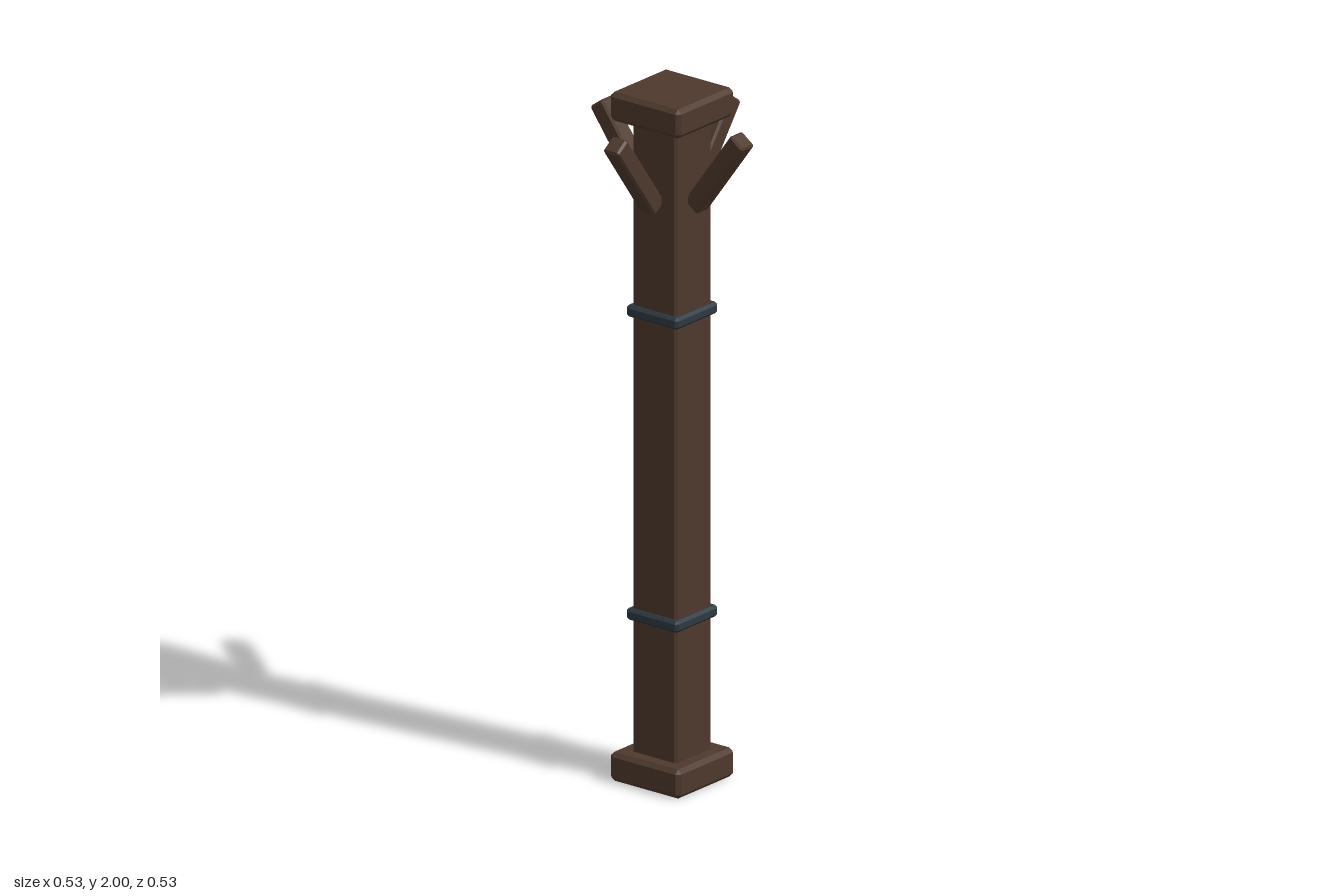
import * as THREE from 'three';
import { ConvexGeometry } from 'three/addons/geometries/ConvexGeometry.js';

// Box with all edges cut at 45 degrees: three inset points at each corner
function chamferBox(w, h, d, c) {
  const points = [];
  for (const sx of [-1, 1]) for (const sy of [-1, 1]) for (const sz of [-1, 1]) {
    const x = w / 2, y = h / 2, z = d / 2;
    points.push(
      new THREE.Vector3(sx * x, sy * (y - c), sz * (z - c)),
      new THREE.Vector3(sx * (x - c), sy * y, sz * (z - c)),
      new THREE.Vector3(sx * (x - c), sy * (y - c), sz * z)
    );
  }
  return new ConvexGeometry(points);
}

export function createModel() {
  const wood = new THREE.MeshStandardMaterial({ color: 0x4e392d });
  wood.name = 'darkWood';
  const iron = new THREE.MeshStandardMaterial({ color: 0x2e3841 });
  iron.name = 'darkIron';

  const model = new THREE.Group();
  model.name = 'woodenPost';

  const add = (parent, name, geometry, material, x, y) => {
    const mesh = new THREE.Mesh(geometry, material);
    mesh.name = name;
    mesh.position.set(x, y, 0);
    parent.add(mesh);
    return mesh;
  };

  // Square shaft between base and cap
  add(model, 'shaft', chamferBox(0.156, 1.9, 0.156, 0.008), wood, 0, 1.0);

  // Base and cap blocks
  const block = chamferBox(0.246, 0.084, 0.246, 0.012);
  add(model, 'base', block, wood, 0, 0.042);
  add(model, 'cap', block, wood, 0, 1.958);

  // Iron bands
  const band = chamferBox(0.182, 0.034, 0.182, 0.008);
  add(model, 'lowerBand', band, iron, 0, 0.483);
  add(model, 'upperBand', band, iron, 0, 1.363);

  // Four braces leaning outwards, one per side
  const braceGeometry = chamferBox(0.054, 0.28, 0.054, 0.006);
  ['leftBrace', 'backBrace', 'rightBrace', 'frontBrace'].forEach((name, i) => {
    const pivot = new THREE.Group();
    pivot.name = name;
    pivot.rotation.y = i * Math.PI / 2;
    add(pivot, name + 'Beam', braceGeometry, wood, 0.165, 1.797).rotation.z = -0.628;
    model.add(pivot);
  });

  return model;
}
